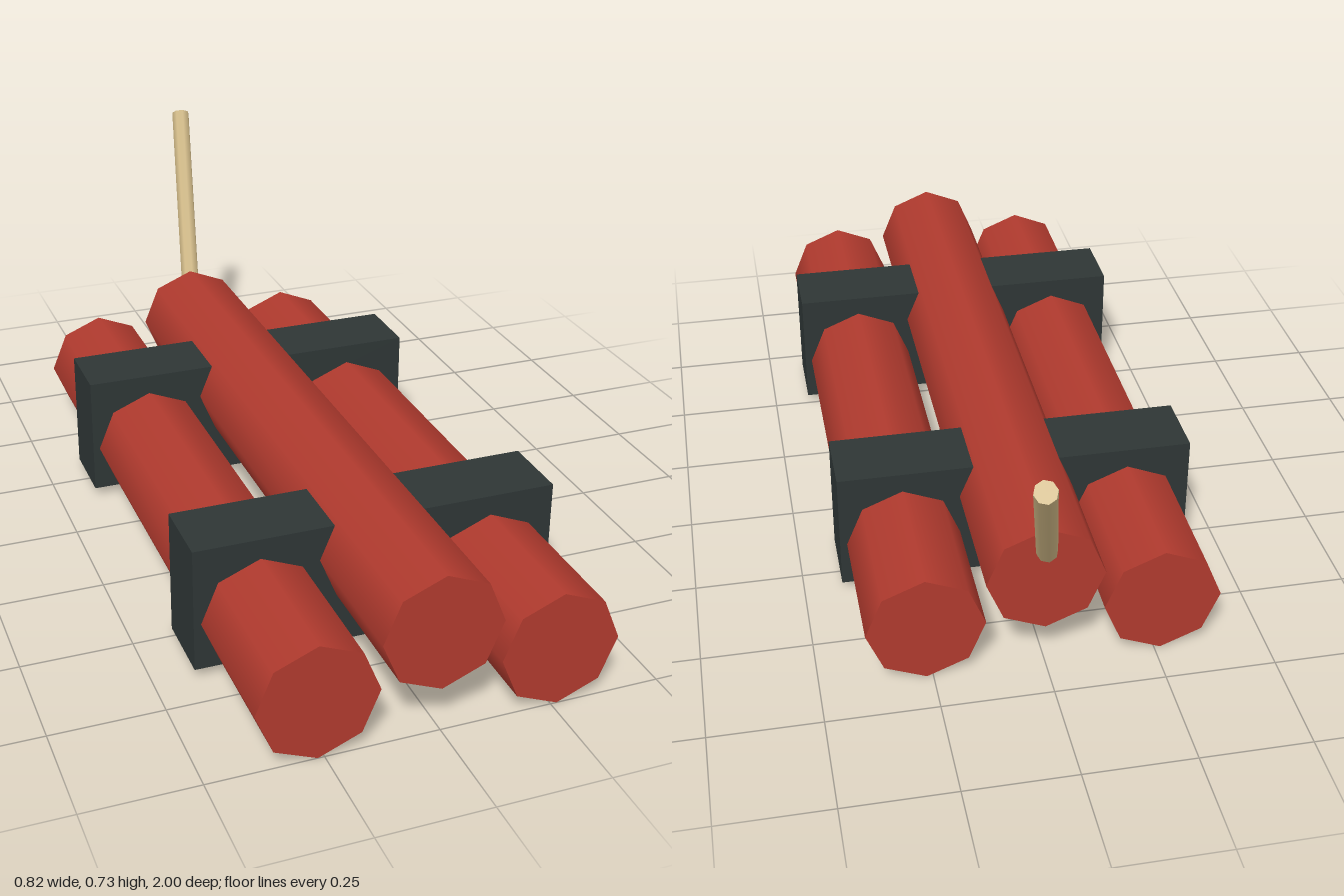
import * as THREE from 'three';

export function createModel() {
  const model = new THREE.Group();
  const red = new THREE.MeshStandardMaterial({ name: 'red paper', color: 0xb03a2e });
  const dark = new THREE.MeshStandardMaterial({ name: 'dark strap', color: 0x2e3635 });
  const tan = new THREE.MeshStandardMaterial({ name: 'tan cord', color: 0xcdb684 });

  const add = (name, geometry, material, x, y, z) => {
    const mesh = new THREE.Mesh(geometry, material);
    mesh.name = name;
    mesh.position.set(x, y, z);
    model.add(mesh);
    return mesh;
  };

  // three eight-sided sticks, the middle one raised
  const stick = new THREE.CylinderGeometry(0.132, 0.132, 1.65, 8).rotateX(Math.PI / 2);
  add('leftStick', stick, red, 0.264, 0.132, 0.175);
  add('rightStick', stick, red, -0.264, 0.132, 0.175);
  add('middleStick', stick, red, 0, 0.232, 0.175);

  // two straps around the bundle
  const strap = new THREE.BoxGeometry(0.824, 0.288, 0.165);
  add('frontStrap', strap, dark, 0, 0.166, 0.585);
  add('backStrap', strap, dark, 0, 0.166, -0.238);

  // slanted fuse at the back end of the middle stick
  const start = new THREE.Vector3(0, 0.305, -0.648);
  const end = new THREE.Vector3(0.083, 0.71, -0.982);
  const along = end.clone().sub(start);
  const middle = start.clone().add(end).multiplyScalar(0.5);
  const fuse = add('fuse', new THREE.CylinderGeometry(0.024, 0.024, along.length(), 8), tan,
    middle.x, middle.y, middle.z);
  fuse.quaternion.setFromUnitVectors(new THREE.Vector3(0, 1, 0), along.normalize());

  return model;
}
